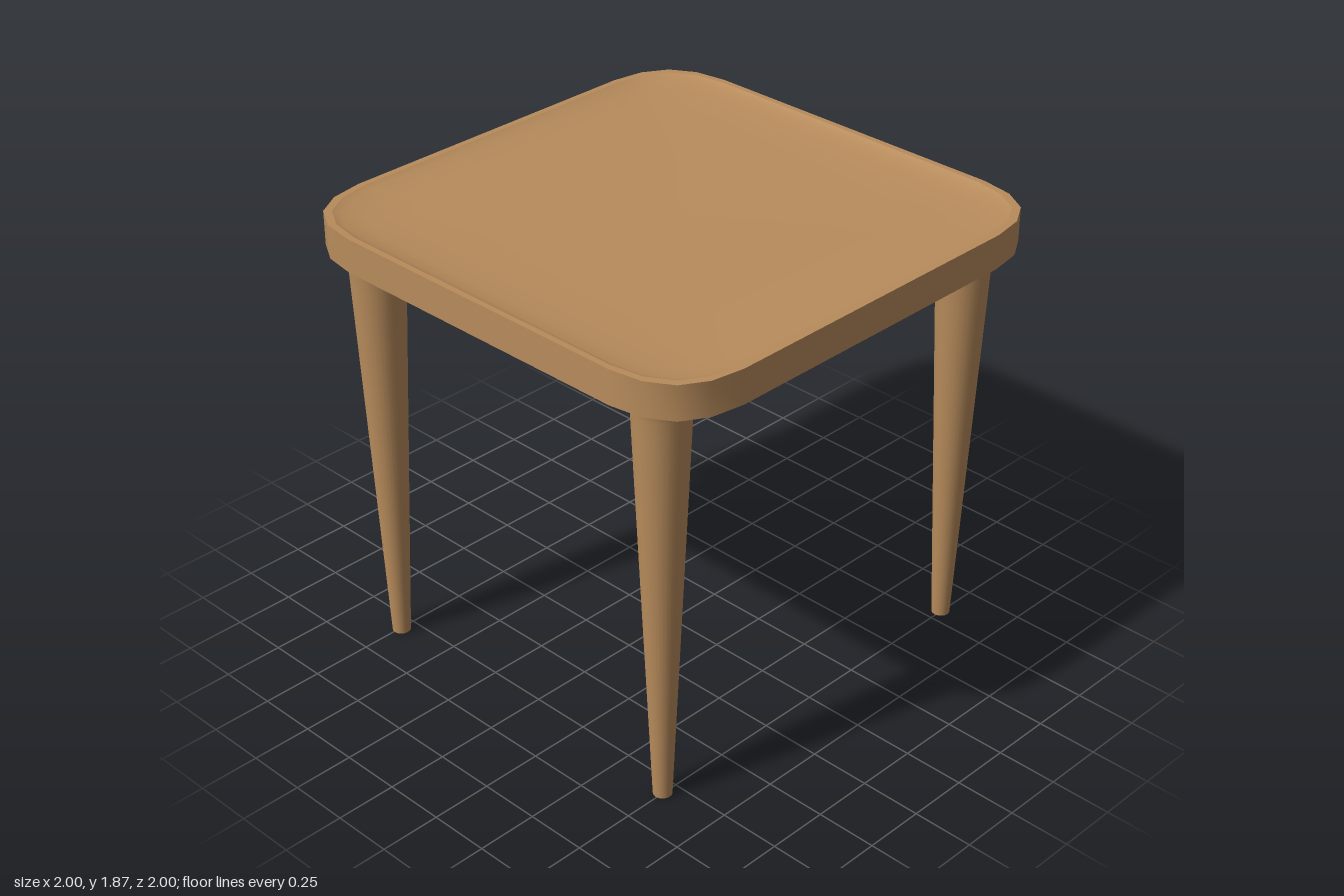
import * as THREE from 'three';

// Quarter of the rounded-square outline as [x, z], repeated by rotation
const corner = [[0.68, 1], [0.815, 0.978], [0.917, 0.917], [0.978, 0.815], [1, 0.68]];
const outline = [];
for (let k = 0, pts = corner; k < 4; k++) {
  outline.push(...pts);
  pts = pts.map(([x, z]) => [z, -x]);
}

// Smooth band through scaled copies of the outline; rings are [scale, y]
function loft(rings) {
  const n = outline.length, pos = [], index = [];
  for (const [s, y] of rings) for (const [x, z] of outline) pos.push(x * s, y, z * s);
  for (let r = 0; r < rings.length - 1; r++) {
    for (let i = 0; i < n; i++) {
      const j = (i + 1) % n, a = r * n + i, b = r * n + j;
      index.push(a, b, a + n, b, b + n, a + n);
    }
  }
  const g = new THREE.BufferGeometry();
  g.setAttribute('position', new THREE.Float32BufferAttribute(pos, 3));
  g.setIndex(index);
  g.computeVertexNormals();
  return g;
}

export function createModel() {
  const model = new THREE.Group();
  const wood = new THREE.MeshStandardMaterial({ color: 0xb88c5c });
  wood.name = 'wood';
  const add = (parent, name, geometry) => {
    const mesh = new THREE.Mesh(geometry, wood);
    mesh.name = name;
    parent.add(mesh);
    return mesh;
  };

  // Seat: flat underside, upright edge, narrow rim and a shallow dished top
  const seat = new THREE.Group();
  seat.name = 'seat';
  model.add(seat);
  add(seat, 'seatUnderside', loft([[0.001, 1.73], [1, 1.73]]));
  add(seat, 'seatEdge', loft([[1, 1.73], [1, 1.87]]));
  add(seat, 'seatRim', loft([[1, 1.87], [0.975, 1.87]]));
  add(seat, 'seatDish', loft([
    [0.975, 1.87], [0.95, 1.858], [0.88, 1.846], [0.75, 1.837], [0.5, 1.831], [0.001, 1.829],
  ]));

  // Tapered round legs that flare where they meet the seat
  const profile = [
    [0.037, 0], [0.106, 1.6], [0.109, 1.67], [0.113, 1.7], [0.118, 1.718], [0.126, 1.731],
  ].map(([r, y]) => new THREE.Vector2(r, y));
  const legGeometry = new THREE.LatheGeometry(profile, 32);
  const footGeometry = new THREE.CircleGeometry(0.037, 32).rotateX(Math.PI / 2);
  for (const [side, x] of [['Left', 0.745], ['Right', -0.745]]) {
    for (const [end, z] of [['front', 0.815], ['back', -0.815]]) {
      const leg = new THREE.Group();
      leg.name = `${end}${side}Leg`;
      leg.position.set(x, 0, z);
      add(leg, 'legShaft', legGeometry);
      add(leg, 'legFoot', footGeometry);
      model.add(leg);
    }
  }
  return model;
}
